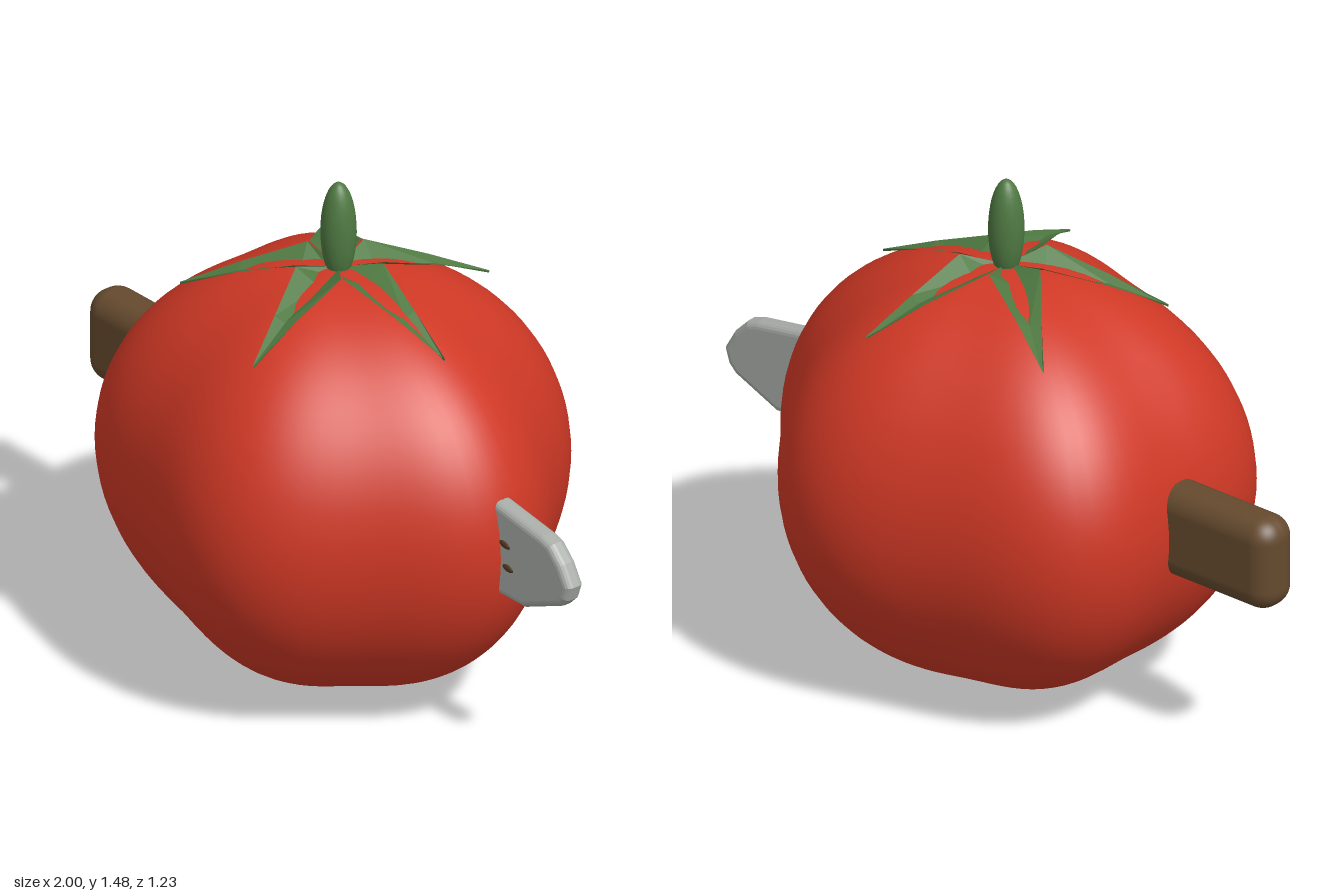
import * as THREE from 'three';
import { mergeVertices } from 'three/addons/utils/BufferGeometryUtils.js';
import { RoundedBoxGeometry } from 'three/addons/geometries/RoundedBoxGeometry.js';

const material = (name, color, side = THREE.FrontSide) => {
  const m = new THREE.MeshStandardMaterial({ color, side });
  m.name = name;
  return m;
};

// Five-lobed fruit: a sphere whose girth varies around the vertical axis
function bodyGeometry() {
  const g = new THREE.SphereGeometry(1, 80, 48);
  const p = g.attributes.position;
  for (let i = 0; i < p.count; i++) {
    const x = p.getX(i), z = p.getZ(i);
    const r = 0.685 + 0.035 * Math.cos(5 * Math.atan2(z, x));
    p.setXYZ(i, x * r, p.getY(i) * 0.61, z * r * 0.88);
  }
  g.deleteAttribute('uv');
  g.deleteAttribute('normal');
  const merged = mergeVertices(g);
  merged.computeVertexNormals();
  return merged;
}

// Leaf pointing along +x: a folded channel that narrows to a tip
function leafGeometry() {
  // distance from stem, half width, edge height, fold height
  const sections = [
    [0.02, 0.015, 1.225, 1.2],
    [0.105, 0.072, 1.247, 1.205],
    [0.28, 0.034, 1.184, 1.172],
    [0.445, 0.002, 1.115, 1.108],
  ];
  const rows = sections.map(([x, w, edge, fold]) => [[x, edge, -w], [x, fold, 0], [x, edge, w]]);
  const points = [];
  for (let i = 0; i < rows.length - 1; i++) {
    for (let j = 0; j < 2; j++) {
      const a = rows[i][j], b = rows[i][j + 1], c = rows[i + 1][j + 1], d = rows[i + 1][j];
      points.push(...a, ...b, ...c, ...a, ...c, ...d);
    }
  }
  const g = new THREE.BufferGeometry();
  g.setAttribute('position', new THREE.Float32BufferAttribute(points, 3));
  g.computeVertexNormals();
  return g;
}

// Blade outline with rounded edges
function bladeGeometry() {
  const outline = [[0.5, 0.5], [0.81, 0.5], [0.96, 0.565], [0.985, 0.59], [1, 0.635],
    [0.965, 0.695], [0.92, 0.74], [0.88, 0.752], [0.7, 0.78], [0.5, 0.8]];
  const shape = new THREE.Shape(outline.map(([x, y]) => new THREE.Vector2(x, y)));
  const g = new THREE.ExtrudeGeometry(shape, {
    depth: 0.02, bevelThickness: 0.02, bevelSize: 0.02, bevelOffset: -0.02, bevelSegments: 4,
  });
  return g.translate(0, 0, -0.01);
}

export function createModel() {
  const model = new THREE.Group();
  const red = material('tomato red', 0xcf3825);
  const green = material('stem green', 0x4f7942);
  const leafGreen = material('leaf green', 0x4f7942, THREE.DoubleSide);
  const brown = material('handle brown', 0x654a2e);
  const dark = material('rivet brown', 0x50381f);
  const steel = material('blade grey', 0xa9ada8);

  const add = (name, geometry, mat, x = 0, y = 0, z = 0) => {
    const mesh = new THREE.Mesh(geometry, mat);
    mesh.name = name;
    mesh.position.set(x, y, z);
    model.add(mesh);
    return mesh;
  };

  add('body', bodyGeometry(), red, 0, 0.613, 0);

  // Stem and crown of leaves
  add('stem', new THREE.SphereGeometry(1, 24, 20).scale(0.05, 0.15, 0.05), green, 0, 1.33, 0);
  const leaf = leafGeometry();
  for (let i = 0; i < 5; i++) {
    add('leaf', leaf, leafGreen).rotation.y = (i * Math.PI * 2) / 5;
  }

  // Knife running through the body
  add('handle', new RoundedBoxGeometry(0.5, 0.275, 0.144, 5, 0.065), brown, -0.75, 0.628, 0);
  add('handleRivet', new THREE.SphereGeometry(0.029, 20, 14), dark, -0.795, 0.63, 0.062);
  add('blade', bladeGeometry(), steel);

  // Small marks on the blade
  for (const [x, y, tilt] of [[0.735, 0.668, -0.15], [0.748, 0.6, -0.1]]) {
    const mark = add('bladeMark', new THREE.SphereGeometry(1, 14, 10).scale(0.022, 0.01, 0.006), dark, x, y, 0.031);
    mark.rotation.z = tilt;
  }
  return model;
}
